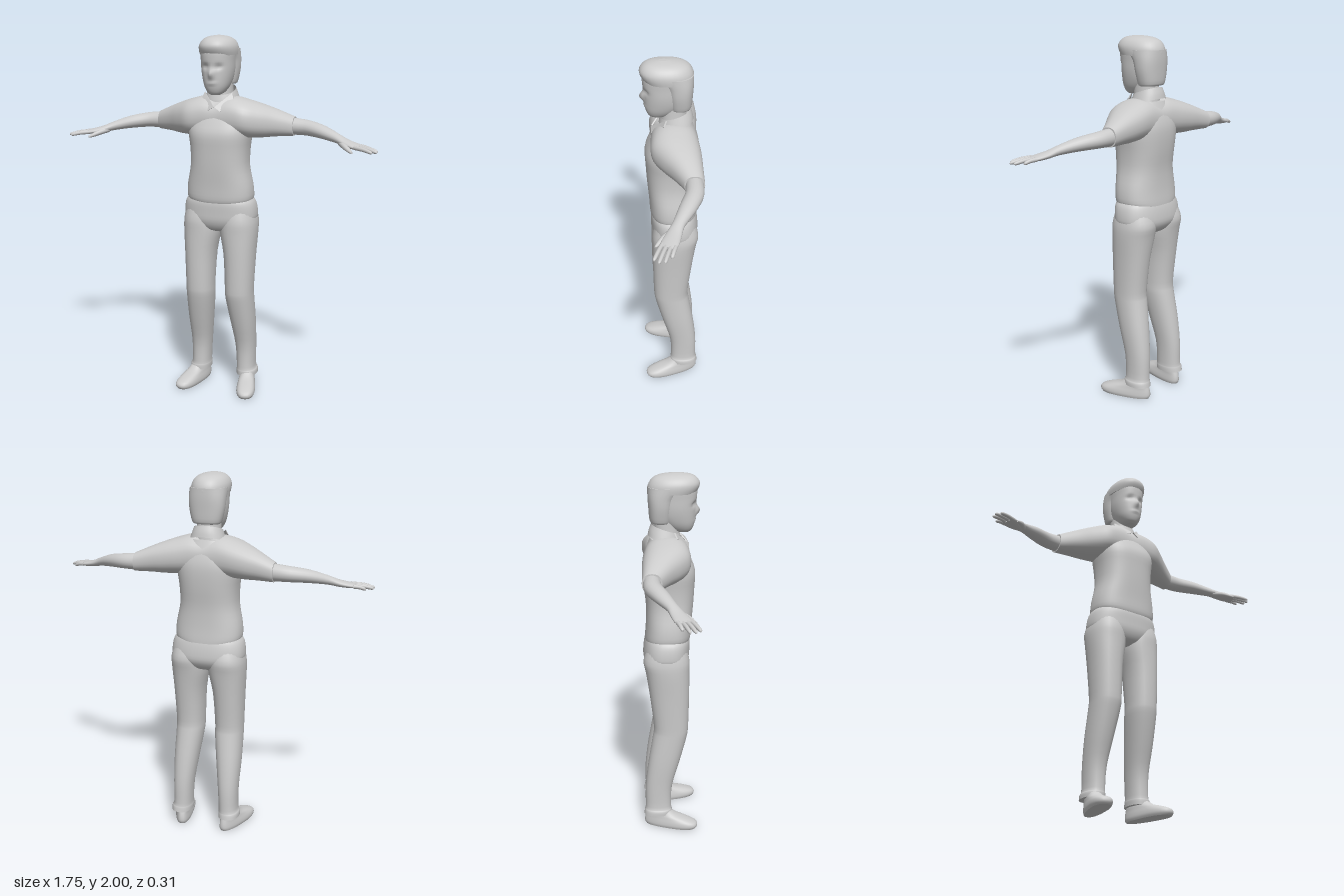
import * as THREE from 'three';

const material = new THREE.MeshStandardMaterial({ color: 0xcccccc, side: THREE.DoubleSide });
const V = (x, y, z) => new THREE.Vector3(x, y, z);

// Smoothly resample rows of numbers (Catmull-Rom)
function smoothRows(rows, sub) {
  const out = [];
  const at = (i) => rows[Math.max(0, Math.min(rows.length - 1, i))];
  for (let i = 0; i < rows.length - 1; i++) {
    for (let s = 0; s < sub; s++) {
      const t = s / sub;
      out.push(rows[i].map((b, k) => {
        const a = at(i - 1)[k], c = at(i + 1)[k], d = at(i + 2)[k];
        return b + 0.5 * t * (c - a + t * (2 * a - 5 * b + 4 * c - d + t * (3 * (b - c) + d - a)));
      }));
    }
  }
  out.push(rows[rows.length - 1]);
  return out;
}

// Skin closed rings of points, with flat end caps
function skin(rings, caps = true) {
  const n = rings[0].length, pos = [], idx = [];
  rings.forEach((r) => r.forEach((p) => pos.push(p.x, p.y, p.z)));
  for (let i = 0; i < rings.length - 1; i++) {
    for (let j = 0; j < n; j++) {
      const a = i * n + j, c = i * n + (j + 1) % n;
      idx.push(a, a + n, c, c, a + n, c + n);
    }
  }
  if (caps) {
    [rings[0], rings[rings.length - 1]].forEach((ring, end) => {
      const base = pos.length / 3;
      const mid = ring.reduce((s, p) => s.add(p), V(0, 0, 0)).divideScalar(n);
      [mid, ...ring].forEach((p) => pos.push(p.x, p.y, p.z));
      for (let j = 0; j < n; j++) {
        const a = base + 1 + j, b = base + 1 + (j + 1) % n;
        idx.push(base, end ? b : a, end ? a : b);
      }
    });
  }
  const g = new THREE.BufferGeometry();
  g.setAttribute('position', new THREE.Float32BufferAttribute(pos, 3));
  g.setIndex(idx);
  g.computeVertexNormals();
  return g;
}

// Unit superellipse points
function oval(n, p) {
  const f = (v) => Math.sign(v) * Math.abs(v) ** (2 / p);
  return Array.from({ length: n }, (_, j) => {
    const a = (j / n) * Math.PI * 2;
    return [f(Math.cos(a)), f(Math.sin(a))];
  });
}

// Upright body: rows of [y, centre x, half width, back z, front z], bottom to top
function loft(rows, { p = 2.2, n = 32, sub = 3, caps = true } = {}) {
  return skin(smoothRows(rows, sub).map(([y, cx, rx, zb, zf]) =>
    oval(n, p).map(([c, s]) => V(cx + rx * c, y, (zb + zf) / 2 + ((zf - zb) / 2) * s))), caps);
}

// Limb towards +x: rows of [x, y, z, half width, half height]
function limb(rows, { p = 2, n = 16, sub = 3, straight = false } = {}) {
  const r = smoothRows(rows, sub);
  return skin(r.map(([x, y, z, w, h], i) => {
    const a = r[Math.max(0, i - 1)], b = r[Math.min(r.length - 1, i + 1)];
    const t = straight ? V(1, 0, 0) : V(b[0] - a[0], 0, b[2] - a[2]).normalize();
    return oval(n, p).map(([c, s]) => V(x - t.z * w * c, y + h * s, z + t.x * w * c));
  }));
}

// Move vertices by a rule
function warp(g, rule) {
  const a = g.attributes.position, v = V(0, 0, 0);
  for (let i = 0; i < a.count; i++) {
    rule(v.fromBufferAttribute(a, i));
    a.setXYZ(i, v.x, v.y, v.z);
  }
  g.computeVertexNormals();
  return g;
}

function mirrored(g) {
  const m = (g.index ? g.toNonIndexed() : g.clone()).scale(-1, 1, 1);
  for (const attr of Object.values(m.attributes)) {
    for (let i = 0; i < attr.count; i += 3) {
      for (let k = 0; k < attr.itemSize; k++) {
        const t = attr.getComponent(i, k);
        attr.setComponent(i, k, attr.getComponent(i + 1, k));
        attr.setComponent(i + 1, k, t);
      }
    }
  }
  return m;
}

export function createModel() {
  const model = new THREE.Group();
  const add = (name, g) => {
    const mesh = new THREE.Mesh(g, material);
    mesh.name = name;
    model.add(mesh);
  };
  const pair = (name, g) => {
    add('left' + name, g);
    add('right' + name, mirrored(g));
  };

  // Face with nose, brow and eye sockets
  const bump = (v, x, y, sx, sy) => Math.exp(-(((v.x - x) / sx) ** 2) - ((v.y - y) / sy) ** 2);
  add('face', warp(loft([
    [1.692, 0, 0.025, 0.04, 0.1], [1.705, 0, 0.045, 0.0, 0.115], [1.735, 0, 0.064, -0.04, 0.127],
    [1.775, 0, 0.077, -0.07, 0.132], [1.82, 0, 0.085, -0.08, 0.134], [1.87, 0, 0.088, -0.09, 0.14],
    [1.92, 0, 0.09, -0.09, 0.142], [1.96, 0, 0.08, -0.08, 0.13],
  ], { n: 48, sub: 5 }), (v) => {
    if (v.z < 0.04) return;
    v.z += 0.024 * bump(v, 0, 1.805, 0.014, 0.025) + 0.006 * bump(v, 0, 1.755, 0.025, 0.008)
      - 0.013 * (bump(v, 0.036, 1.842, 0.02, 0.014) + bump(v, -0.036, 1.842, 0.02, 0.014));
  }));

  // Hair: crown, and the part down the back and sides
  add('hairCrown', loft([
    [1.9, 0, 0.098, -0.118, 0.135], [1.925, 0, 0.1, -0.118, 0.15], [1.95, 0, 0.096, -0.11, 0.155],
    [1.975, 0, 0.08, -0.09, 0.14], [1.992, 0, 0.052, -0.05, 0.11], [2, 0, 0.012, 0.01, 0.06],
  ]));
  add('hairBack', loft([
    [1.742, 0, 0.07, -0.095, 0.0], [1.755, 0, 0.08, -0.108, 0.008], [1.82, 0, 0.095, -0.114, 0.02],
    [1.88, 0, 0.099, -0.118, 0.04], [1.93, 0, 0.099, -0.118, 0.1],
  ], { p: 2.4 }));
  add('neck', loft([[1.6, 0, 0.075, -0.1, 0.06], [1.68, 0, 0.065, -0.085, 0.05], [1.8, 0, 0.062, -0.08, 0.05]]));

  // Shirt body
  add('shirt', loft([
    [1.105, 0, 0.172, -0.138, 0.105], [1.13, 0, 0.185, -0.137, 0.112], [1.2, 0, 0.181, -0.132, 0.116],
    [1.3, 0, 0.161, -0.132, 0.125], [1.4, 0, 0.162, -0.144, 0.131], [1.48, 0, 0.172, -0.15, 0.134],
    [1.54, 0, 0.17, -0.147, 0.114], [1.6, 0, 0.14, -0.13, 0.086], [1.66, 0, 0.095, -0.105, 0.05],
  ], { p: 2.5, n: 40 }));

  // Shoulders and short sleeves in one piece
  const half = [
    [0.39, 1.52, -0.1, 0.051, 0.051], [0.3, 1.538, -0.07, 0.08, 0.072],
    [0.23, 1.549, -0.044, 0.106, 0.088], [0.16, 1.56, -0.022, 0.125, 0.1], [0.08, 1.57, -0.017, 0.122, 0.108],
  ];
  const left = half.slice().reverse();
  add('shouldersAndSleeves', limb([
    ...half.map(([x, ...r]) => [-x, ...r]), [0, 1.565, -0.017, 0.118, 0.105], ...left,
  ], { p: 2.3, n: 32, sub: 4, straight: true }));

  // Collar band, lower at the front, and its flaps
  add('collarBand', warp(loft([
    [1.645, 0, 0.098, -0.118, 0.062], [1.675, 0, 0.088, -0.112, 0.06], [1.71, 0, 0.076, -0.1, 0.05],
  ], { caps: false }), (v) => { v.y -= (v.z + 0.02) * 0.33; }));
  const flap = new THREE.Shape([[0.003, 1.628], [0.036, 1.605], [0.088, 1.672], [0.078, 1.7]]
    .map(([x, y]) => new THREE.Vector2(x, y)));
  pair('CollarFlap', warp(new THREE.ExtrudeGeometry(flap, { depth: 0.008, bevelEnabled: false }),
    (v) => { v.z += 0.11 - (v.y - 1.6) * 0.6 - v.x * 0.4; }));

  // Arm running into the palm
  pair('Arm', limb([
    [0.34, 1.522, -0.1, 0.044, 0.047], [0.4, 1.519, -0.1, 0.045, 0.045], [0.47, 1.515, -0.092, 0.046, 0.041],
    [0.56, 1.503, -0.052, 0.042, 0.035], [0.645, 1.482, -0.008, 0.031, 0.025],
    [0.7, 1.464, 0.017, 0.038, 0.019], [0.75, 1.454, 0.038, 0.044, 0.015], [0.785, 1.45, 0.053, 0.038, 0.01],
  ], { n: 20 }));

  // Fingers: base x, base z, tip x, tip z
  [[0.775, 0.014, 0.838, 0.034], [0.773, 0.035, 0.872, 0.067], [0.765, 0.055, 0.873, 0.095],
    [0.753, 0.074, 0.852, 0.117]].forEach(([x, z, tx, tz], i) => {
    const at = (t, y, r) => [x + (tx - x) * t, y, z + (tz - z) * t, r, r];
    pair('Finger' + (i + 1), limb([
      at(0, 1.452, 0.011), at(0.5, 1.448, 0.0105), at(0.88, 1.44, 0.009), at(1, 1.437, 0.004),
    ], { n: 10 }));
  });
  pair('Thumb', limb([
    [0.665, 1.463, 0.015, 0.014, 0.014], [0.7, 1.452, 0.06, 0.016, 0.015],
    [0.73, 1.438, 0.09, 0.012, 0.011], [0.748, 1.43, 0.107, 0.005, 0.005],
  ], { n: 10 }));

  // Trousers: hips, then each leg with its cuff
  add('hips', loft([
    [0.935, 0, 0.07, -0.07, 0.04], [0.955, 0, 0.14, -0.115, 0.08], [1.0, 0, 0.198, -0.146, 0.102],
    [1.05, 0, 0.205, -0.147, 0.106], [1.1, 0, 0.196, -0.138, 0.107], [1.125, 0, 0.18, -0.128, 0.1],
  ], { p: 2.5, n: 40 }));
  pair('TrouserLeg', loft([
    [0.075, 0.142, 0.058, -0.152, 0.006], [0.1, 0.141, 0.058, -0.148, 0.006], [0.125, 0.137, 0.052, -0.143, 0.002],
    [0.25, 0.134, 0.056, -0.142, 0.008], [0.4, 0.127, 0.068, -0.125, 0.05], [0.55, 0.117, 0.077, -0.1, 0.09],
    [0.62, 0.116, 0.078, -0.094, 0.098], [0.8, 0.115, 0.086, -0.115, 0.102], [0.93, 0.107, 0.102, -0.135, 0.103],
    [1.0, 0.107, 0.101, -0.148, 0.103], [1.06, 0.1, 0.095, -0.13, 0.09],
  ], { p: 2.25, n: 28 }));

  // Shoes, toes turned out
  const shoe = loft([
    [0, 0, 0.046, -0.142, 0.146], [0.015, 0, 0.051, -0.15, 0.156], [0.035, 0, 0.05, -0.15, 0.148],
    [0.055, 0, 0.046, -0.146, 0.1], [0.075, 0, 0.043, -0.14, 0.035], [0.1, 0, 0.038, -0.135, 0.0],
  ], { p: 2.5 });
  warp(shoe, (v) => { v.x *= 1 + v.z * 1.2; });
  pair('Shoe', shoe.rotateY(0.25).translate(0.16, 0, -0.002));

  return model;
}
